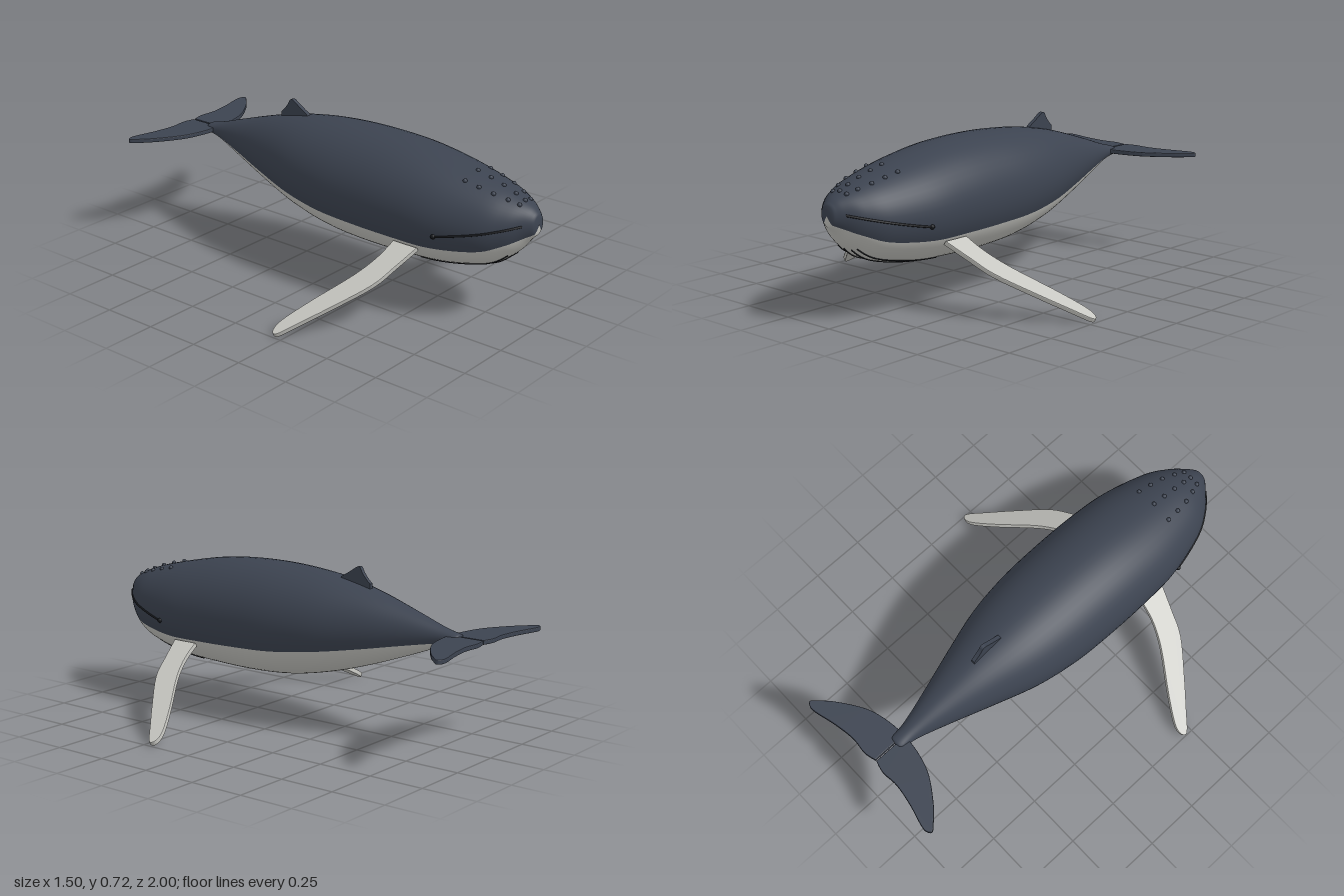
import * as THREE from 'three';

const mat = (name, color, side = THREE.FrontSide) => {
  const m = new THREE.MeshStandardMaterial({ color, side });
  m.name = name;
  return m;
};

// Body stations from nose to tail: z, top y, bottom y, half width, colour seam y
const STATIONS = [
  [0.99, 0.52, 0.425, 0.04, 0.435], [0.96, 0.545, 0.395, 0.072, 0.42],
  [0.9, 0.573, 0.325, 0.132, 0.39], [0.8, 0.608, 0.258, 0.19, 0.355],
  [0.6, 0.655, 0.213, 0.241, 0.333], [0.4, 0.688, 0.199, 0.255, 0.335],
  [0.2, 0.7, 0.196, 0.256, 0.34], [0, 0.696, 0.21, 0.247, 0.348],
  [-0.2, 0.676, 0.25, 0.215, 0.37], [-0.4, 0.635, 0.31, 0.155, 0.4],
  [-0.6, 0.575, 0.382, 0.09, 0.435], [-0.75, 0.526, 0.44, 0.046, 0.46],
  [-0.83, 0.505, 0.462, 0.036, 0.472],
];
const curveA = new THREE.CatmullRomCurve3(STATIONS.map(s => new THREE.Vector3(s[0], s[1], s[2])), false, 'catmullrom');
const curveB = new THREE.CatmullRomCurve3(STATIONS.map(s => new THREE.Vector3(s[3], s[4], 0)), false, 'catmullrom');

function sectionAt(t) {
  const a = curveA.getPoint(t), b = curveB.getPoint(t);
  const cy = (a.y + a.z) / 2, ry = (a.y - a.z) / 2;
  const seam = Math.asin(THREE.MathUtils.clamp((b.y - cy) / ry, -0.95, 0.95));
  return { z: a.x, cy, ry, rx: b.x, seam };
}
// Section at a given z, by bisection along the body
function sectionAtZ(z) {
  let lo = 0, hi = 1;
  for (let i = 0; i < 30; i++) {
    const m = (lo + hi) / 2;
    if (curveA.getPoint(m).x > z) lo = m; else hi = m;
  }
  return sectionAt(lo);
}
const onSection = (s, a, k = 1) => new THREE.Vector3(Math.cos(a) * s.rx * k, s.cy + Math.sin(a) * s.ry * k, s.z);

// Lofted body; material group 0 is the back, group 1 the belly
function bodyGeometry() {
  const UP = 32, LOW = 24, N = UP + LOW, rings = [];
  const push = (s, k, dz) => {
    const ring = [];
    for (let j = 0; j < N; j++) {
      const a = j < UP
        ? s.seam + (Math.PI - 2 * s.seam) * j / UP
        : Math.PI - s.seam + (Math.PI + 2 * s.seam) * (j - UP) / LOW;
      const p = onSection(s, a, k);
      p.z += dz;
      ring.push(p);
    }
    rings.push(ring);
  };
  const nose = sectionAt(0), tail = sectionAt(1), STEPS = 72;
  [[0.02, 0.008], [0.5, 0.007], [0.85, 0.004]].forEach(([k, dz]) => push(nose, k, dz));
  for (let i = 0; i <= STEPS; i++) push(sectionAt(i / STEPS), 1, 0);
  [[0.85, -0.007], [0.5, -0.011], [0.02, -0.012]].forEach(([k, dz]) => push(tail, k, dz));

  const back = [], belly = [];
  for (let i = 0; i < rings.length - 1; i++) {
    for (let j = 0; j < N; j++) {
      const a = i * N + j, b = i * N + (j + 1) % N, c = a + N, d = b + N;
      (j < UP ? back : belly).push(a, c, b, b, c, d);
    }
  }
  const g = new THREE.BufferGeometry().setFromPoints(rings.flat());
  g.setIndex([...back, ...belly]);
  g.addGroup(0, back.length, 0);
  g.addGroup(back.length, belly.length, 1);
  g.computeVertexNormals();
  return g;
}

// Flat fin: smooth outline of [x, z] points, straight root, mirrored by side
function finGeometry(outline, side, thickness) {
  const pts = new THREE.SplineCurve(outline.map(([x, z]) => new THREE.Vector2(side * x, -z))).getPoints(48);
  const bevel = 0.004;
  const g = new THREE.ExtrudeGeometry(new THREE.Shape(pts), {
    depth: thickness - 2 * bevel, bevelEnabled: true, bevelSize: bevel, bevelThickness: bevel, bevelOffset: -bevel, bevelSegments: 2,
  });
  g.translate(0, 0, -thickness / 2 + bevel);
  return g.rotateX(-Math.PI / 2);
}

export function createModel() {
  const whale = new THREE.Group();
  whale.name = 'whale';
  const slate = mat('slateBack', 0x3c4350);
  const pale = mat('paleBelly', 0xc6c6c1);
  const dark = mat('darkLine', 0x15171b);
  const add = (name, geo, material) => {
    const m = new THREE.Mesh(geo, material);
    m.name = name;
    whale.add(m);
    return m;
  };
  const line = (name, pts, r) =>
    add(name, new THREE.TubeGeometry(new THREE.CatmullRomCurve3(pts), 40, r, 6), dark);

  add('body', bodyGeometry(), [slate, pale]);

  const flipper = [[0, 0.55], [0.12, 0.515], [0.24, 0.475], [0.4, 0.37], [0.52, 0.285], [0.59, 0.235],
    [0.605, 0.212], [0.585, 0.195], [0.53, 0.202], [0.4, 0.265], [0.22, 0.365], [0.1, 0.41], [0, 0.425]];
  const fluke = [[0.003, -0.786], [0.1, -0.797], [0.2, -0.828], [0.31, -0.9], [0.37, -0.955], [0.392, -0.982],
    [0.37, -0.999], [0.33, -0.995], [0.24, -0.972], [0.14, -0.957], [0.06, -0.963], [0.003, -0.95]];

  for (const side of [1, -1]) {
    const label = side > 0 ? 'left' : 'right';

    const fin = add(label + 'Flipper', finGeometry(flipper, side, 0.022), pale);
    fin.rotation.z = -side * Math.PI / 6;
    fin.position.set(side * 0.22, 0.315, 0);

    add(label + 'Fluke', finGeometry(fluke, side, 0.02), slate).position.y = 0.485;

    // Mouth line along the cheek, ending at the eye
    const cheek = (z, y) => {
      const s = sectionAtZ(z);
      const p = onSection(s, Math.asin((y - s.cy) / s.ry));
      p.x *= side;
      return p;
    };
    const mouth = [];
    for (let i = 0; i <= 12; i++) {
      const u = i / 12;
      mouth.push(cheek(0.96 - 0.32 * u, 0.478 - 0.09 * u + 0.012 * u * u));
    }
    line(label + 'MouthLine', mouth, 0.005);
    const eye = add(label + 'Eye', new THREE.SphereGeometry(0.011, 14, 10), dark);
    eye.position.copy(cheek(0.635, 0.4));

    // Throat grooves
    [0.16, 0.41].forEach((a, n) => {
      const pts = [];
      for (let i = 0; i <= 14; i++) pts.push(onSection(sectionAtZ(0.89 - 0.41 * i / 14), -Math.PI / 2 + side * a));
      line(label + 'ThroatGroove' + (n + 1), pts, 0.004);
    });
  }

  // Dorsal fin, drawn in the side plane
  const dorsal = new THREE.Shape();
  dorsal.moveTo(0.22, 0.655);
  dorsal.lineTo(0.235, 0.678);
  dorsal.quadraticCurveTo(0.275, 0.7, 0.312, 0.726);
  dorsal.quadraticCurveTo(0.33, 0.734, 0.336, 0.72);
  dorsal.quadraticCurveTo(0.35, 0.69, 0.385, 0.66);
  dorsal.lineTo(0.385, 0.62);
  const dorsalGeo = new THREE.ExtrudeGeometry(dorsal, { depth: 0.018, bevelEnabled: false, curveSegments: 10 });
  dorsalGeo.translate(0, 0, -0.009).rotateY(Math.PI / 2);
  add('dorsalFin', dorsalGeo, slate);

  // Three rows of bumps on the head
  const bumps = [[0.69, 0.092], [0.755, 0.085], [0.82, 0.075], [0.88, 0.057], [0.925, 0.04]];
  const bumpGeo = new THREE.SphereGeometry(0.01, 12, 8);
  for (const [z, x] of bumps) {
    for (const k of [-1, 0, 1]) {
      const s = sectionAtZ(z);
      add('headBump', bumpGeo, slate).position.copy(onSection(s, Math.acos(k * x / s.rx)));
    }
  }
  return whale;
}
